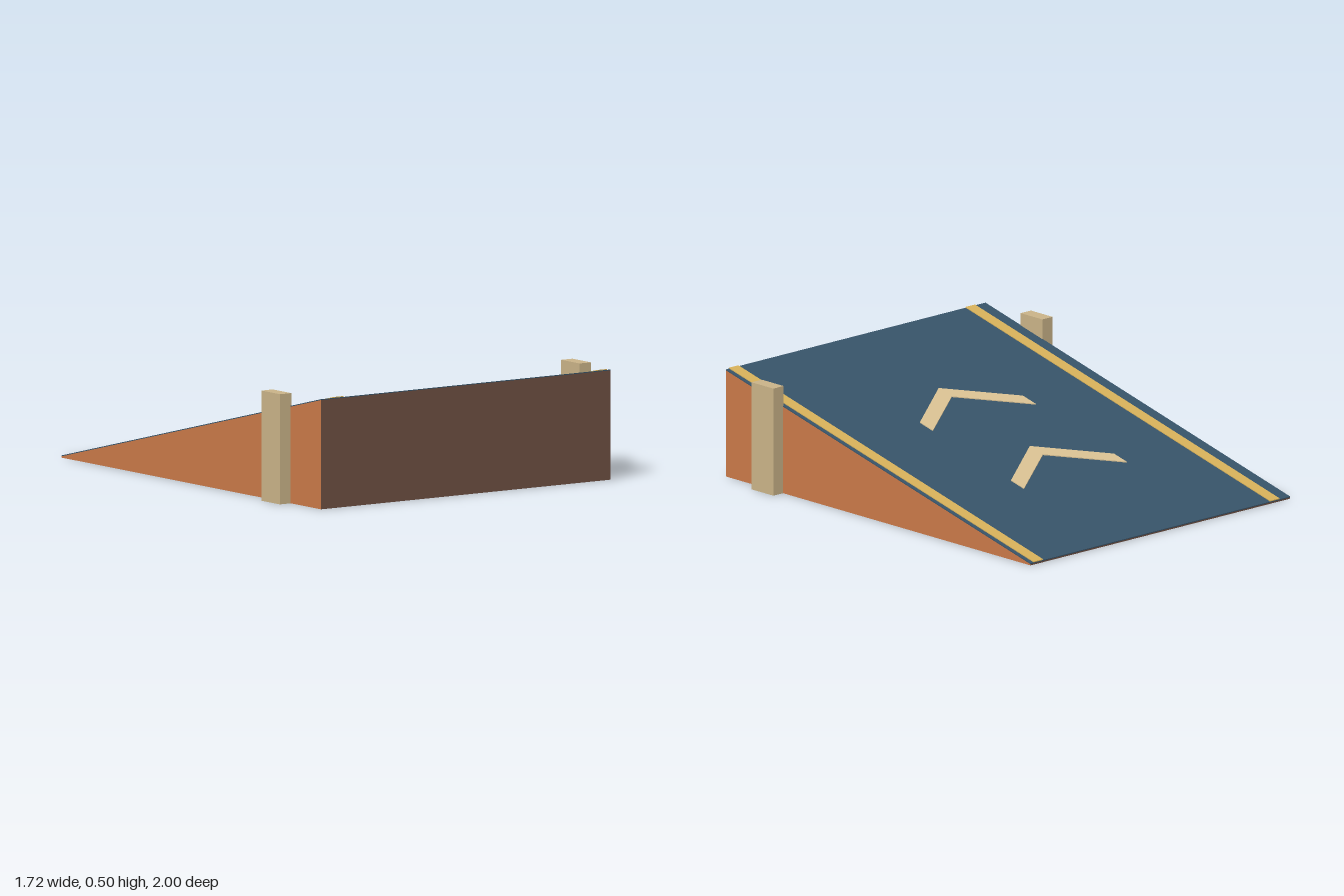
import * as THREE from 'three';

const flat = (name, color) => new THREE.MeshStandardMaterial({ name, color });

const HALF_WIDTH = 0.8;
const SKIN = 0.004; // thickness of the deck covering and painted marks
const deckHeight = (z) => 0.255 + 0.245 * z; // top of the slope at depth z

// Thin plate with an [x, z] outline, sheared to lie on the slope
function slopePlate(name, outline, lift, material) {
  const shape = new THREE.Shape(outline.map(([x, z]) => new THREE.Vector2(x, -z)));
  const geometry = new THREE.ExtrudeGeometry(shape, { depth: SKIN, bevelEnabled: false });
  geometry.rotateX(-Math.PI / 2);
  const p = geometry.attributes.position;
  for (let i = 0; i < p.count; i++) p.setY(i, p.getY(i) + deckHeight(p.getZ(i)) + lift);
  geometry.computeVertexNormals();
  const mesh = new THREE.Mesh(geometry, material);
  mesh.name = name;
  return mesh;
}

const strip = (x0, x1) => [[x0, -1], [x0, 1], [x1, 1], [x1, -1]];

export function createModel() {
  const sideOrange = flat('side orange', 0xc87848);
  const frameBrown = flat('frame brown', 0x6d4f42);
  const deckBlue = flat('deck blue', 0x375368);
  const stripeYellow = flat('stripe yellow', 0xd6b05a);
  const arrowCream = flat('arrow cream', 0xd9c193);
  const postTan = flat('post tan', 0xc8b287);

  const model = new THREE.Group();
  model.name = 'ramp';

  // Wedge body: orange side panels, brown front, back and underside
  const profile = new THREE.Shape([
    new THREE.Vector2(-1, 0),
    new THREE.Vector2(1, 0),
    new THREE.Vector2(1, deckHeight(1) - SKIN),
    new THREE.Vector2(-1, deckHeight(-1) - SKIN),
  ]);
  const bodyGeometry = new THREE.ExtrudeGeometry(profile, { depth: 2 * HALF_WIDTH, bevelEnabled: false });
  bodyGeometry.rotateY(-Math.PI / 2).translate(HALF_WIDTH, 0, 0);
  const body = new THREE.Mesh(bodyGeometry, [sideOrange, frameBrown]);
  body.name = 'wedgeBody';
  model.add(body);

  // Sloping deck
  model.add(slopePlate('deck', strip(-HALF_WIDTH, HALF_WIDTH), -SKIN, deckBlue));

  // Edge stripes
  model.add(slopePlate('rightStripe', strip(-0.735, -0.677), 0, stripeYellow));
  model.add(slopePlate('leftStripe', strip(0.722, 0.78), 0, stripeYellow));

  // Chevron arrows, z is the front edge of each tip
  for (const [name, z] of [['backChevron', -0.143], ['frontChevron', 0.455]]) {
    const outline = [
      [0, z], [0.317, z - 0.215], [0.317, z - 0.3],
      [0, z - 0.086], [-0.317, z - 0.3], [-0.317, z - 0.215],
    ];
    model.add(slopePlate(name, outline, 0, arrowCream));
  }

  // Side posts
  for (const [name, side] of [['leftPost', 1], ['rightPost', -1]]) {
    const post = new THREE.Mesh(new THREE.BoxGeometry(0.063, 0.5, 0.143), postTan);
    post.name = name;
    post.position.set(side * 0.8285, 0.25, 0.695);
    model.add(post);
  }

  return model;
}
